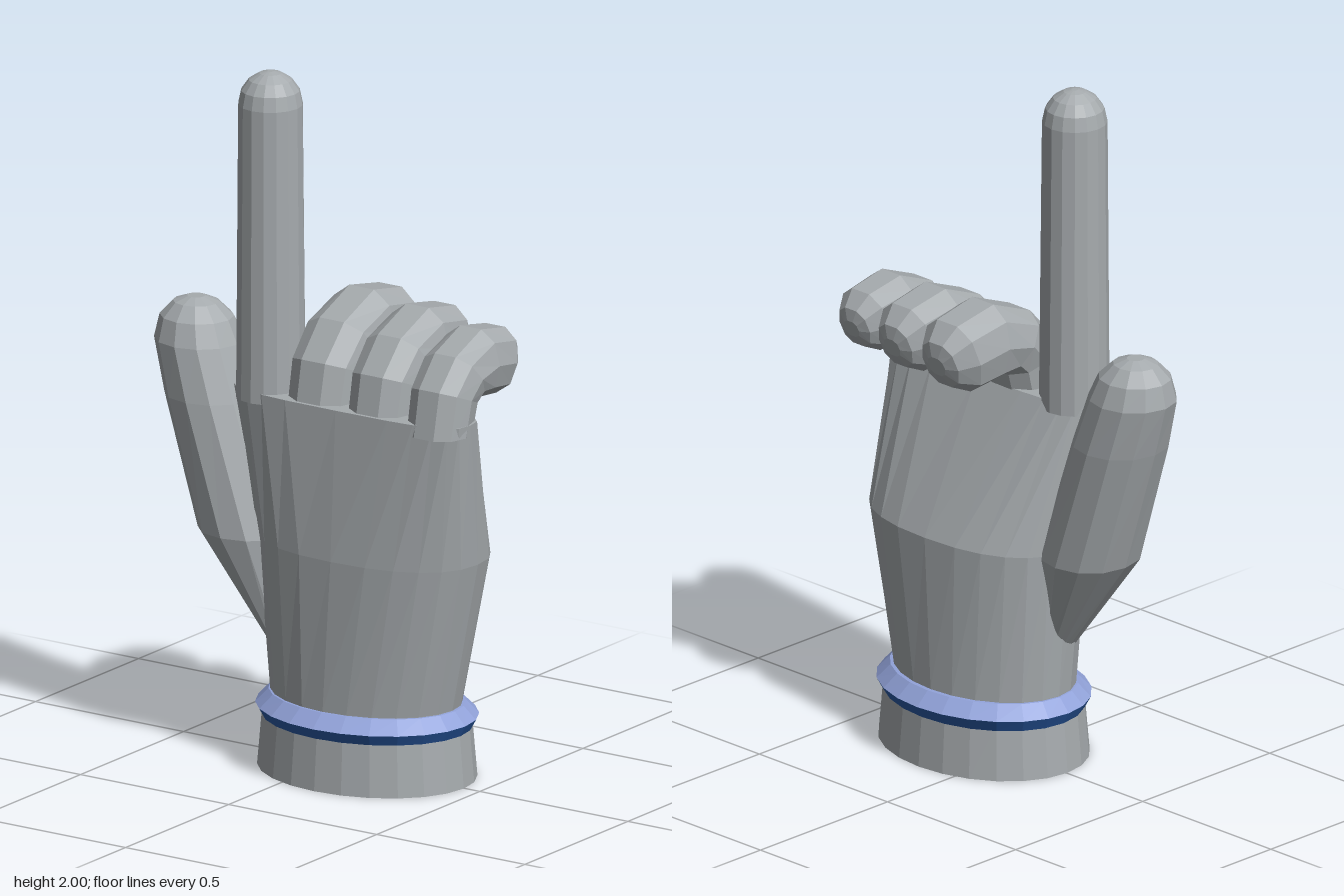
import * as THREE from 'three';

const mat = (name, color) => {
  const m = new THREE.MeshStandardMaterial({ color });
  m.name = name;
  return m;
};

// One cross-section: [x, y, z, rx, rz, forward tilt in degrees, squareness (1 = ellipse)]
function ring([x, y, z, rx, rz, tilt = 0, power = 1], sides) {
  const axis = new THREE.Vector3(1, 0, 0);
  const soft = (v) => Math.sign(v) * Math.pow(Math.abs(v), power);
  return Array.from({ length: sides }, (_, i) => {
    const a = (i / sides) * Math.PI * 2;
    return new THREE.Vector3(rx * soft(Math.cos(a)), 0, -rz * soft(Math.sin(a)))
      .applyAxisAngle(axis, -THREE.MathUtils.degToRad(tilt))
      .add(new THREE.Vector3(x, y, z));
  });
}

// Faceted skin through a list of cross-sections, with optional end caps
function loft(name, material, sections, sides, capped = true) {
  const rings = sections.map((s) => ring(s, sides));
  const pos = [];
  const tri = (...pts) => pts.forEach((p) => pos.push(p.x, p.y, p.z));
  const centre = (s) => new THREE.Vector3(s[0], s[1], s[2]);
  const last = rings.length - 1;
  for (let j = 0; j < sides; j++) {
    const k = (j + 1) % sides;
    for (let i = 0; i < last; i++) {
      const lo = rings[i], hi = rings[i + 1];
      tri(lo[j], lo[k], hi[k]);
      tri(lo[j], hi[k], hi[j]);
    }
    if (capped) {
      tri(centre(sections[0]), rings[0][k], rings[0][j]);
      tri(centre(sections[last]), rings[last][j], rings[last][k]);
    }
  }
  const g = new THREE.BufferGeometry();
  g.setAttribute('position', new THREE.Float32BufferAttribute(pos, 3));
  g.computeVertexNormals();
  const mesh = new THREE.Mesh(g, material);
  mesh.name = name;
  return mesh;
}

export function createModel() {
  const hand = new THREE.Group();
  hand.name = 'pointingHand';
  const grey = mat('gloveGrey', 0xa6abae);
  const paleBlue = mat('paleBlue', 0x92a3da);
  const deepBlue = mat('deepBlue', 0x2a5ca8);

  // Cuff and palm
  hand.add(loft('cuff', grey, [
    [0.122, 0, 0.003, 0.326, 0.258],
    [0.122, 0.16, 0.003, 0.312, 0.245],
  ], 24));
  hand.add(loft('palm', grey, [
    [0.12, 0.15, 0.004, 0.28, 0.21],
    [0.12, 0.22, 0.004, 0.29, 0.213],
    [0.152, 0.66, 0.012, 0.35, 0.213, 0, 0.85],
    [0.148, 1.09, 0.097, 0.388, 0.098, 0, 0.6],
  ], 24));

  // Wristband: dark underside, pale upper face
  hand.add(loft('wristbandLower', deepBlue, [
    [0.121, 0.145, 0.002, 0.312, 0.245],
    [0.121, 0.18, 0.002, 0.331, 0.264],
  ], 24, false));
  hand.add(loft('wristbandUpper', paleBlue, [
    [0.121, 0.18, 0.002, 0.331, 0.264],
    [0.121, 0.218, 0.002, 0.296, 0.222],
    [0.121, 0.22, 0.002, 0.27, 0.2],
  ], 24, false));

  // Straight index finger with a domed tip
  const index = [[-0.14, 1.06, 0.094, 0.098, 0.098], [-0.14, 1.905, 0.096, 0.091, 0.091]];
  for (const a of [25, 48, 70, 84]) {
    const t = THREE.MathUtils.degToRad(a);
    const r = 0.091 * Math.cos(t);
    index.push([-0.14, 1.905 + 0.095 * Math.sin(t), 0.096, r, r]);
  }
  hand.add(loft('indexFinger', grey, index, 16));

  // Three fingers curling towards the back
  const curl = [ // y, z, half width factor, half thickness, tilt
    [1.05, 0.1, 0.93, 0.095, 0],
    [1.17, 0.072, 0.96, 0.098, 22],
    [1.228, 0.015, 1, 0.097, 55],
    [1.25, -0.08, 1, 0.118, 88],
    [1.232, -0.19, 0.94, 0.112, 104],
    [1.22, -0.243, 0.62, 0.072, 106],
    [1.218, -0.258, 0.3, 0.03, 106],
  ];
  const fingers = [
    ['middleFinger', 0.048, 0.112, 1],
    ['ringFinger', 0.247, 0.104, 0.945],
    ['littleFinger', 0.443, 0.096, 0.86],
  ];
  for (const [name, x, width, s] of fingers) {
    hand.add(loft(name, grey, curl.map(([y, z, w, r, tilt]) =>
      [x, 1.09 + (y - 1.09) * s, 0.195 + (z - 0.195) * s, width * w, r * s, tilt, 0.85]), 10));
  }

  // Thumb leaning outwards from the wrist
  hand.add(loft('thumb', grey, [
    [-0.125, 0.34, 0.05, 0.03, 0.05],
    [-0.245, 0.65, 0.05, 0.138, 0.138, 0, 0.9],
    [-0.365, 1.02, 0.05, 0.134, 0.134, 0, 0.95],
    [-0.412, 1.17, 0.05, 0.128, 0.122],
    [-0.42, 1.235, 0.05, 0.106, 0.1],
    [-0.423, 1.275, 0.05, 0.066, 0.062],
    [-0.423, 1.29, 0.05, 0.025, 0.025],
  ], 12));

  return hand;
}
